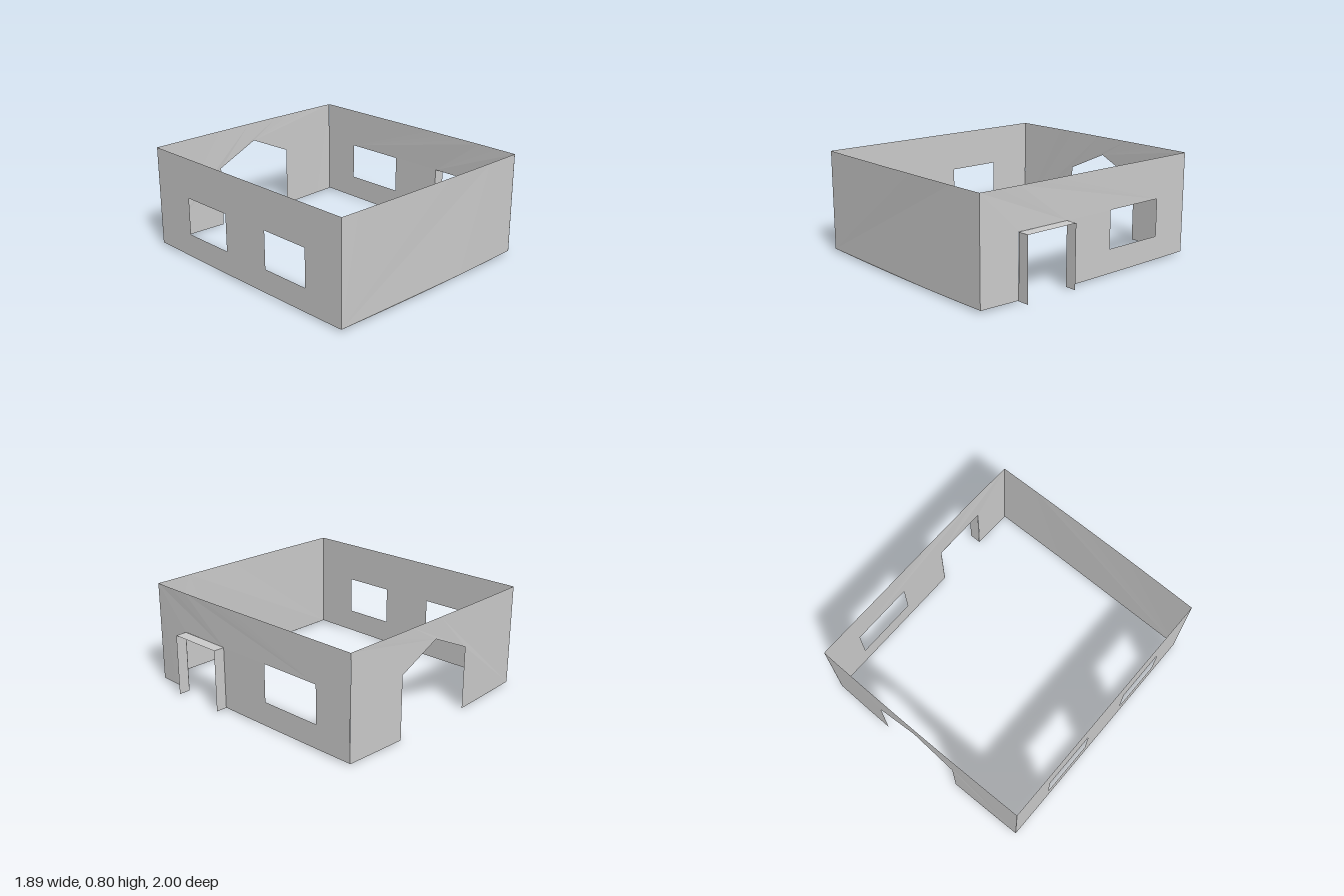
import * as THREE from 'three';

const TOP = 0.8;
const material = new THREE.MeshStandardMaterial({ color: 0xcccccc, side: THREE.DoubleSide, flatShading: true });

// Thin wall drawn as (u, y) and then laid along its gently bowed plan line.
// doorway: outline points from one foot to the other, in rising u.
function wall(name, u0, u1, { foot, place, doorway = [], windows = [] }) {
  const steps = 12;
  const us = Array.from({ length: steps + 1 }, (_, i) => u0 + ((u1 - u0) * i) / steps);
  const outline = [];
  const ground = us.map((u) => new THREE.Vector2(u, foot(u)));
  if (doorway.length) {
    const a = doorway[0][0], b = doorway[doorway.length - 1][0];
    outline.push(...ground.filter((p) => p.x < a - 0.01));
    outline.push(...doorway.map(([u, y]) => new THREE.Vector2(u, y)));
    outline.push(...ground.filter((p) => p.x > b + 0.01));
  } else outline.push(...ground);
  outline.push(...us.reverse().map((u) => new THREE.Vector2(u, TOP)));

  const shape = new THREE.Shape(outline);
  for (const [a, b] of windows) {
    shape.holes.push(new THREE.Path([[a, 0.2], [a, 0.49], [b, 0.49], [b, 0.2]].map(([u, y]) => new THREE.Vector2(u, y))));
  }
  const geometry = new THREE.ShapeGeometry(shape);
  const pos = geometry.attributes.position;
  for (let i = 0; i < pos.count; i++) {
    const [x, z] = place(pos.getX(i));
    pos.setXYZ(i, x, pos.getY(i), z);
  }
  geometry.computeVertexNormals();
  const mesh = new THREE.Mesh(geometry, material);
  mesh.name = name;
  return mesh;
}

// Flat sheet without thickness
function sheet(name, width, height, position, rotation) {
  const mesh = new THREE.Mesh(new THREE.PlaneGeometry(width, height), material);
  mesh.name = name;
  mesh.position.set(...position);
  mesh.rotation.set(...rotation);
  return mesh;
}

export function createModel() {
  const group = new THREE.Group();
  group.name = 'roofless house walls';

  // Front wall: plain, slightly bowed outward
  group.add(wall('frontWall', -0.945, 0.845, {
    foot: (x) => 0.018 + 0.007 * x * x,
    place: (x) => [x, 1 - 0.009 * x * x],
  }));

  // Back wall with a pointed archway
  group.add(wall('backWall', -0.945, 0.855, {
    foot: (x) => 0.003 + 0.03 * Math.max(0, Math.abs(x) - 0.35),
    place: (x) => [x, -1 + 0.011 * x * x],
    doorway: [[-0.35, 0.003], [-0.35, 0.49], [0, 0.65], [0.35, 0.49], [0.35, 0.003]],
  }));

  // Left wall with a doorway and one window
  group.add(wall('leftWall', -0.992, 0.994, {
    foot: (z) => 0.015 + 0.007 * z * z,
    place: (z) => [0.857 - 0.012 * Math.max(0, z) ** 3, z],
    doorway: [[0.24, 0.015], [0.24, 0.49], [0.675, 0.49], [0.675, 0.017]],
    windows: [[-0.685, -0.19]],
  }));

  // Right wall with two windows
  group.add(wall('rightWall', -0.99, 0.992, {
    foot: (z) => 0.018 + 0.005 * z * z,
    place: (z) => [-0.945, z],
    windows: [[-0.615, -0.18], [0.245, 0.65]],
  }));

  // Door surround projecting from the left wall
  const surround = new THREE.Group();
  surround.name = 'doorSurround';
  for (const [name, z] of [['rearJamb', 0.24], ['frontJamb', 0.675]]) {
    surround.add(sheet(name, 0.09, 0.476, [0.9, 0.252, z], [0, 0, 0]));
  }
  surround.add(sheet('lintel', 0.09, 0.435, [0.9, 0.49, 0.4575], [-Math.PI / 2, 0, 0]));
  group.add(surround);

  return group;
}
